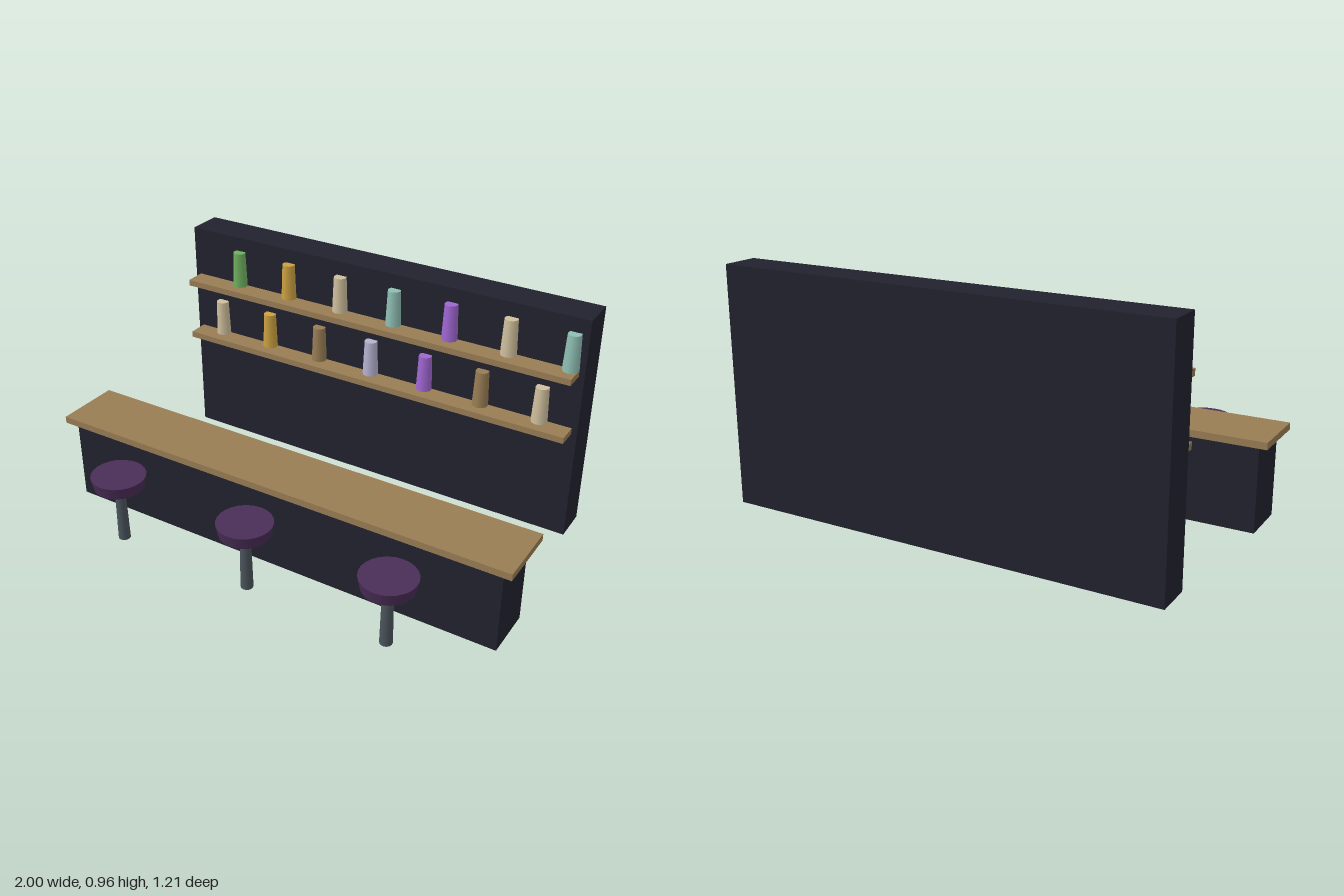
import * as THREE from 'three';

const mat = (name, color) => {
  const m = new THREE.MeshStandardMaterial({ color });
  m.name = name;
  return m;
};

export function createModel() {
  const bar = new THREE.Group();
  bar.name = 'bar';

  const dark = mat('dark panel', 0x22222e);
  const wood = mat('wood', 0x987d54);
  const plum = mat('plum seat', 0x4a2d57);
  const steel = mat('steel', 0x4a545b);
  const green = mat('green glass', 0x6fb05f);
  const amber = mat('amber glass', 0xcba041);
  const cream = mat('cream glass', 0xcfbf9c);
  const teal = mat('teal glass', 0x8fbfb3);
  const purple = mat('purple glass', 0xa066d2);
  const lilac = mat('lilac glass', 0xb6b2d0);

  const add = (name, geometry, material, x, y, z, parent = bar) => {
    const mesh = new THREE.Mesh(geometry, material);
    mesh.name = name;
    mesh.position.set(x, y, z);
    parent.add(mesh);
    return mesh;
  };

  // Box given by its width and its y and z ranges, centred on x = 0
  const slab = (name, material, w, y0, y1, z0, z1) =>
    add(name, new THREE.BoxGeometry(w, y1 - y0, z1 - z0), material, 0, (y0 + y1) / 2, (z0 + z1) / 2);

  // Counter
  slab('counterBody', dark, 1.92, 0, 0.347, 0.119, 0.331);
  slab('counterTop', wood, 2, 0.347, 0.375, 0.087, 0.358);

  // Back wall
  slab('backWall', dark, 1.816, 0, 0.962, -0.607, -0.457);

  // Shelves, each with a row of bottles
  const bottleGeo = new THREE.CylinderGeometry(0.027, 0.033, 0.152, 10);
  const rows = [
    { top: 0.498, x: -0.76, glass: [cream, amber, wood, lilac, purple, wood, cream] },
    { top: 0.75, x: -0.66, glass: [green, amber, cream, teal, purple, cream, teal] },
  ];
  for (const { top, x, glass } of rows) {
    slab('shelf', wood, 1.77, top - 0.026, top, -0.457, -0.37);
    glass.forEach((m, i) => add('bottle', bottleGeo, m, x + i * 0.2525, top + 0.076, -0.443));
  }

  // Stools
  const seatGeo = new THREE.CylinderGeometry(0.11, 0.1, 0.05, 24);
  const postGeo = new THREE.CylinderGeometry(0.021, 0.025, 0.25, 12);
  for (const x of [-0.606, 0, 0.606]) {
    const stool = new THREE.Group();
    stool.name = 'stool';
    stool.position.set(x, 0, 0.497);
    add('seat', seatGeo, plum, 0, 0.275, 0, stool);
    add('post', postGeo, steel, 0, 0.125, 0, stool);
    bar.add(stool);
  }

  return bar;
}
